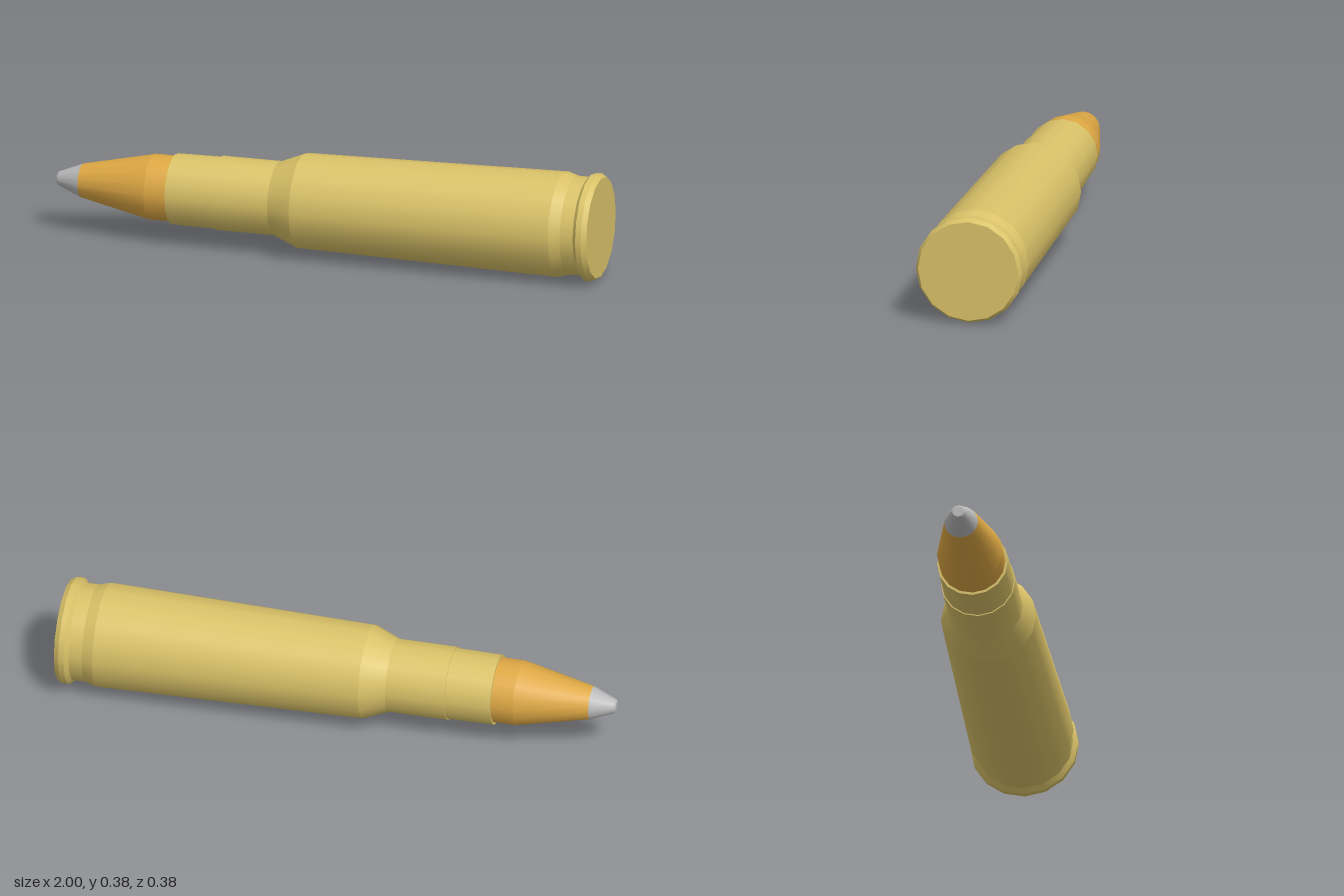
import * as THREE from 'three';
import { mergeGeometries } from 'three/addons/utils/BufferGeometryUtils.js';

const SIDES = 16;
const AXIS_HEIGHT = 0.192;

// Turned part along x: smooth around the axis, crisp between profile points [x, radius].
function turned(name, profile, material) {
  const bands = [];
  for (let i = 0; i < profile.length - 1; i++) {
    const [x0, r0] = profile[i];
    const [x1, r1] = profile[i + 1];
    // the lathe's own profile axis (y) becomes x
    const band = new THREE.LatheGeometry([new THREE.Vector2(r0, x0), new THREE.Vector2(r1, x1)], SIDES);
    band.rotateZ(-Math.PI / 2);
    bands.push(band);
  }
  const mesh = new THREE.Mesh(mergeGeometries(bands), material);
  mesh.name = name;
  return mesh;
}

export function createModel() {
  const brass = new THREE.MeshStandardMaterial({ name: 'brass', color: 0xdac268 });
  const copper = new THREE.MeshStandardMaterial({ name: 'copper', color: 0xdea844 });
  const steel = new THREE.MeshStandardMaterial({ name: 'steel', color: 0xbababa });

  const model = new THREE.Group();
  model.name = 'cartridge';

  const parts = new THREE.Group();
  parts.name = 'turnedParts';
  parts.position.y = AXIS_HEIGHT;
  model.add(parts);

  parts.add(
    // blunt grey point
    turned('tip', [[-1, 0], [-1, 0.02], [-0.995, 0.025], [-0.91, 0.06]], steel),
    // tapered bullet, its straight shank running into the case
    turned('bullet', [[-0.91, 0.06], [-0.65, 0.117], [-0.56, 0.117]], copper),
    // neck with a slight step
    turned('neck', [[-0.57, 0.11], [-0.57, 0.126], [-0.405, 0.128], [-0.405, 0.132], [-0.19, 0.132]], brass),
    // shoulder, tapered body and extractor groove
    turned('caseBody', [[-0.19, 0.132], [-0.1, 0.169], [0.86, 0.188], [0.9, 0.176], [0.948, 0.176]], brass),
    // rim and closed base
    turned('rim', [[0.948, 0.176], [0.962, 0.192], [0.982, 0.192], [1, 0.181], [1, 0]], brass),
  );
  return model;
}
